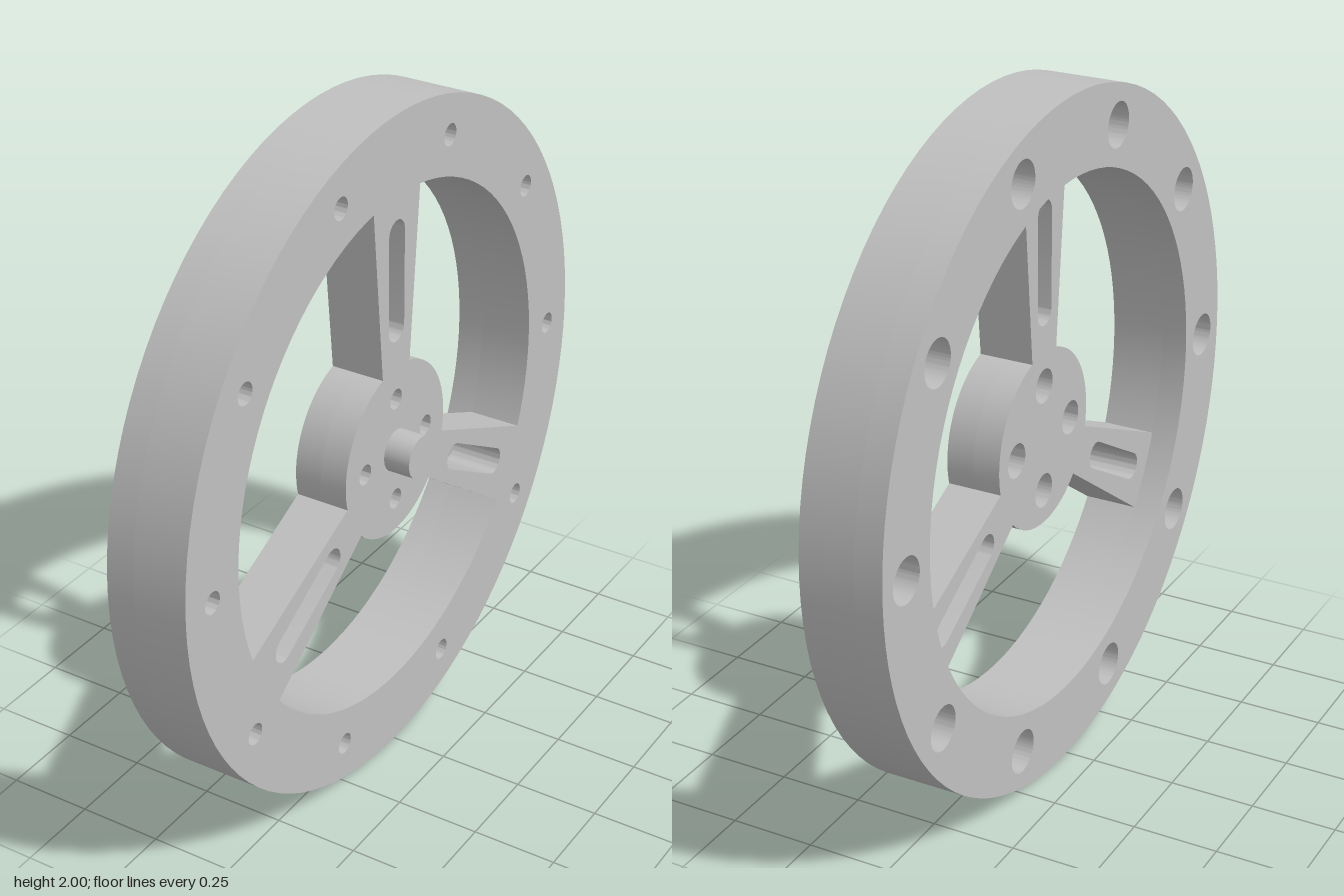
import * as THREE from 'three';
import { toCreasedNormals } from 'three/addons/utils/BufferGeometryUtils.js';

const BACK = -0.16, MID = -0.08, FRONT = 0.08;
const RIM_OUT = 1, RIM_IN = 0.77, HUB = 0.26;
const metal = new THREE.MeshStandardMaterial({ color: 0xc0c0c0 });
metal.name = 'light grey';

const disc = (r) => new THREE.Shape().absarc(0, 0, r, 0, Math.PI * 2, false);
const hole = (x, y, r) => new THREE.Path().absarc(x, y, r, 0, Math.PI * 2, true);

// Evenly spaced ring of round holes
function holeRing(count, radius, r) {
  return Array.from({ length: count }, (_, i) => {
    const a = (i / count) * Math.PI * 2;
    return hole(Math.cos(a) * radius, Math.sin(a) * radius, r);
  });
}

// Extrude a profile along the axle, from x0 to x1
function slab(name, shape, x0, x1, holes, segments = 32) {
  shape.holes.push(...holes);
  const extruded = new THREE.ExtrudeGeometry(shape, {
    depth: x1 - x0, bevelEnabled: false, curveSegments: segments,
  });
  extruded.translate(0, 0, x0);
  extruded.rotateY(Math.PI / 2);
  const mesh = new THREE.Mesh(toCreasedNormals(extruded, 0.5), metal);
  mesh.name = name;
  return mesh;
}

// Tapered spoke pointing up, with curved ends and a rounded slot
function spoke(name) {
  const up = Math.PI / 2;
  const outer = Math.asin(0.117 / RIM_IN), inner = Math.asin(0.07 / HUB);
  const shape = new THREE.Shape();
  shape.absarc(0, 0, RIM_IN + 0.001, up - outer, up + outer, false);
  shape.absarc(0, 0, HUB - 0.001, up + inner, up - inner, true);
  shape.closePath();
  const slot = new THREE.Path();
  slot.absarc(0, 0.66, 0.04, Math.PI, 0, true);
  slot.absarc(0, 0.38, 0.04, 0, -Math.PI, true);
  slot.closePath();
  return slab(name, shape, MID, FRONT, [slot], 12);
}

export function createModel() {
  const model = new THREE.Group();
  model.name = 'wheel';
  const wheel = new THREE.Group();
  wheel.name = 'wheelBody';
  wheel.position.y = 1;
  model.add(wheel);

  // Rim: wide counterbores at the back, narrow bolt holes at the front
  wheel.add(slab('rimBack', disc(RIM_OUT), BACK, MID,
    [hole(0, 0, RIM_IN), ...holeRing(10, 0.885, 0.065)], 48));
  wheel.add(slab('rimFront', disc(RIM_OUT), MID, FRONT,
    [hole(0, 0, RIM_IN), ...holeRing(10, 0.885, 0.032)], 48));

  // Hub, set in from the back of the rim, with four stepped holes
  wheel.add(slab('hubBack', disc(HUB), MID, 0, holeRing(4, 0.16, 0.05)));
  wheel.add(slab('hubFront', disc(HUB), 0, FRONT, holeRing(4, 0.16, 0.03)));

  // Three spokes
  for (let i = 0; i < 3; i++) {
    const s = spoke('spoke' + (i + 1));
    s.rotation.x = (i * Math.PI * 2) / 3;
    wheel.add(s);
  }

  // Axle pin
  const pin = new THREE.Mesh(new THREE.CylinderGeometry(0.062, 0.062, 0.1, 40), metal);
  pin.name = 'axlePin';
  pin.rotation.z = -Math.PI / 2;
  pin.position.x = 0.11;
  wheel.add(pin);

  return model;
}
